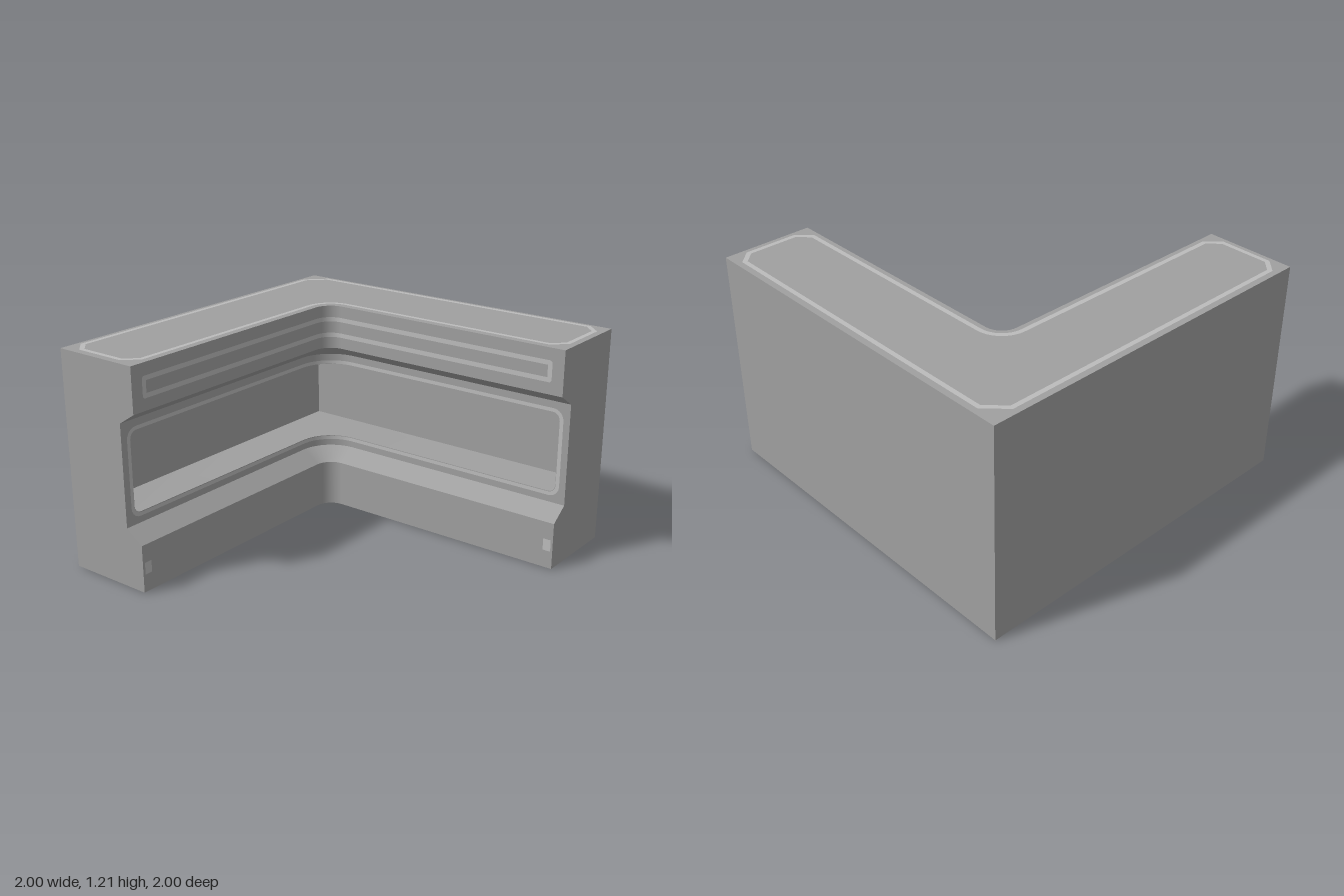
import * as THREE from 'three';
import { toCreasedNormals } from 'three/addons/utils/BufferGeometryUtils.js';

const WALL = new THREE.MeshStandardMaterial({ color: 0xa0a0a0 });
WALL.name = 'wall grey';
const TRIM = new THREE.MeshStandardMaterial({ color: 0xbcbcbc });
TRIM.name = 'trim light grey';

const H = 1.2, BEND = 0.4, NECK = 0.1, BACK = 0.85, LIFT = 0.004, ARC = 8;

// Inner face line: along the back arm, around the bend, along the side arm
const arcStations = [];
for (let i = 0; i <= ARC; i++) {
  const a = (i / ARC) * Math.PI / 2, nx = Math.sin(a), nz = -Math.cos(a);
  arcStations.push({ x: BEND + 0.1 * nx, z: -BEND + 0.1 * nz, nx, nz });
}
const allStations = [{ x: -1, z: -0.5, nx: 0, nz: -1 }, ...arcStations, { x: 0.5, z: 1, nx: 1, nz: 0 }];

// Strip from (y0, depth0) to (y1, depth1) swept along the stations
function strip(stations, y0, d0, y1, d1) {
  const pos = [], nor = [], idx = [];
  const len = Math.hypot(y1 - y0, d1 - d0), out = (y1 - y0) / len, up = (d1 - d0) / len;
  stations.forEach((s, i) => {
    for (const [y, d] of [[y0, d0], [y1, d1]]) {
      pos.push(s.x + s.nx * d, y, s.z + s.nz * d);
      nor.push(-s.nx * out, up, -s.nz * out);
    }
    if (i) {
      const a = 2 * i - 2;
      idx.push(a, a + 2, a + 3, a, a + 3, a + 1);
    }
  });
  const g = new THREE.BufferGeometry();
  g.setAttribute('position', new THREE.Float32BufferAttribute(pos, 3));
  g.setAttribute('normal', new THREE.Float32BufferAttribute(nor, 3));
  g.setIndex(idx);
  return g;
}

// Copy of a back arm part for the side arm: (x, z) -> (-z, -x)
function mirrored(geometry) {
  const g = geometry.index ? geometry.toNonIndexed() : geometry.clone();
  g.applyMatrix4(new THREE.Matrix4().set(0, 0, -1, 0, 0, 1, 0, 0, -1, 0, 0, 0, 0, 0, 0, 1));
  for (const name of ['position', 'normal']) {
    const p = g.attributes[name].array;
    for (let i = 0; i < p.length; i += 9) {
      for (let k = 0; k < 3; k++) [p[i + 3 + k], p[i + 6 + k]] = [p[i + 6 + k], p[i + 3 + k]];
    }
  }
  return g;
}

const shapeOf = (pts) => new THREE.Shape(pts.map(([x, y]) => new THREE.Vector2(x, y)));

// Flat horizontal face from (x, z) points, facing up or down
function flat(pts, y, up, hole) {
  const s = up ? -1 : 1;
  const turn = (list) => list.map(([x, z]) => [x, s * z]);
  const shape = shapeOf(turn(pts));
  if (hole) shape.holes.push(shapeOf(turn(hole)));
  return new THREE.ShapeGeometry(shape).rotateX(s * Math.PI / 2).translate(0, y, 0);
}

// U outline with rounded closed end, open towards the bend
function uLine({ x, y0, y1, r }) {
  const pts = [[BEND, y1]], n = r ? 5 : 0;
  for (const [cy, start] of [[y1 - r, 0.5], [y0 + r, 1]]) {
    for (let i = 0; i <= n; i++) {
      const a = Math.PI * (start + (n ? 0.5 * i / n : 0));
      pts.push([x + r + r * Math.cos(a), cy + r * Math.sin(a)]);
    }
  }
  pts.push([BEND, y0]);
  return pts;
}

// Centred trim outline for the L-shaped ends, offset outwards by o
function ringLine(o) {
  const e = 0.957 + o, k = o * 0.414, c = 0.89 + k, b = 0.86 + k, r = 0.142 - o;
  const pts = [[-e, -c], [-c, -e], [b, -e], [e, -b], [e, c], [c, e], [0.61 - k, e], [0.542 - o, c]];
  for (let i = ARC; i >= 0; i--) {
    const s = arcStations[i];
    pts.push([BEND + r * s.nx, -BEND + r * s.nz]);
  }
  pts.push([-c, -0.542 + o], [-e, -0.61 + k]);
  return pts;
}

export function createModel() {
  const model = new THREE.Group();
  model.name = 'cornerWall';
  const add = (name, geometry, material, mirror = false) => {
    const list = mirror ? [geometry, mirrored(geometry)] : [geometry];
    list.forEach((g, i) => {
      const mesh = new THREE.Mesh(g, material);
      mesh.name = mirror ? name + (i ? 'Side' : 'Back') : name;
      model.add(mesh);
    });
  };
  // U-shaped band that runs along both arms and through the bend
  const band = (name, outer, inner, depth, material) => {
    const shape = shapeOf([...uLine(outer), ...uLine(inner).reverse()]);
    add(name, new THREE.ShapeGeometry(shape).translate(0, 0, -0.5 - depth), material, true);
    add(name + 'LowerBend', strip(arcStations, outer.y0, depth, inner.y0, depth), material);
    add(name + 'UpperBend', strip(arcStations, inner.y1, depth, outer.y1, depth), material);
  };

  // Inner faces of base and cornice
  add('base', strip(allStations, 0, 0, 0.26, 0), WALL);
  add('baseSlope', strip(allStations, 0.26, 0, 0.33, NECK), WALL);
  add('corniceSlope', strip(allStations, 0.89, NECK, 0.955, 0), WALL);
  add('cornice', strip(allStations, 0.955, 0, H, 0), WALL);

  // Middle panel with its long opening
  const hole = { x: -0.94, y0: 0.39, y1: 0.83, r: 0.04 };
  band('panel', { x: -1, y0: 0.33, y1: 0.89, r: 0 }, hole, NECK, WALL);

  // Recess: rim, floor and ceiling at the bend, back
  const pos = [], line = uLine(hole), zf = -0.5 - NECK;
  for (let i = 0; i + 1 < line.length; i++) {
    const p = line[i], q = line[i + 1];
    pos.push(...p, zf, ...q, zf, ...q, -BACK, ...p, zf, ...q, -BACK, ...p, -BACK);
  }
  const rim = new THREE.BufferGeometry();
  rim.setAttribute('position', new THREE.Float32BufferAttribute(pos, 3));
  add('recessRim', toCreasedNormals(rim, 0.6), WALL, true);
  const bend = arcStations.map((s) => [s.x + s.nx * NECK, s.z + s.nz * NECK]);
  bend.push([BACK, -BEND], [BACK, -BACK], [BEND, -BACK]);
  add('recessFloorBend', flat(bend, hole.y0, true), WALL);
  add('recessCeilingBend', flat(bend, hole.y1, false), WALL);
  const backWidth = BACK - hole.x;
  add('recessBack', new THREE.PlaneGeometry(backWidth, hole.y1 - hole.y0)
    .translate(hole.x + backWidth / 2, (hole.y0 + hole.y1) / 2, -BACK), WALL, true);

  // Outer walls and arm ends
  add('outerWall', new THREE.PlaneGeometry(2, H).rotateY(Math.PI).translate(0, H / 2, -1), WALL, true);
  const profile = [[-1, 0], [-0.5, 0], [-0.5, 0.26], [-0.6, 0.33], [-0.6, 0.89], [-0.5, 0.955], [-0.5, H], [-1, H]];
  add('armEnd', new THREE.ShapeGeometry(shapeOf(profile)).rotateY(-Math.PI / 2).translate(-1, 0, 0), WALL, true);

  // Top and underside with trim rings
  const plan = [[-1, -1], [-1, -0.5], ...arcStations.map((s) => [s.x, s.z]), [0.5, 1], [1, 1], [1, -1]];
  add('top', flat(plan, H, true), WALL);
  add('underside', flat(plan, 0, false), WALL);
  add('topTrim', flat(ringLine(0.0125), H + LIFT, true, ringLine(-0.0125)), TRIM);
  add('undersideTrim', flat(ringLine(0.0125), -LIFT, false, ringLine(-0.0125)), TRIM);

  // Trim around the opening and on the cornice
  band('openingTrim', { x: -0.965, y0: 0.368, y1: 0.852, r: 0.06 },
    { x: -0.944, y0: 0.388, y1: 0.832, r: 0.042 }, NECK - LIFT, TRIM);
  band('corniceTrim', { x: -0.935, y0: 1.02, y1: 1.135, r: 0.015 },
    { x: -0.91, y0: 1.045, y1: 1.11, r: 0 }, -LIFT, TRIM);

  // Small plates near the arm ends
  add('basePlate', new THREE.PlaneGeometry(0.045, 0.065).translate(-0.967, 0.132, -0.5 + LIFT), TRIM, true);

  return model;
}
